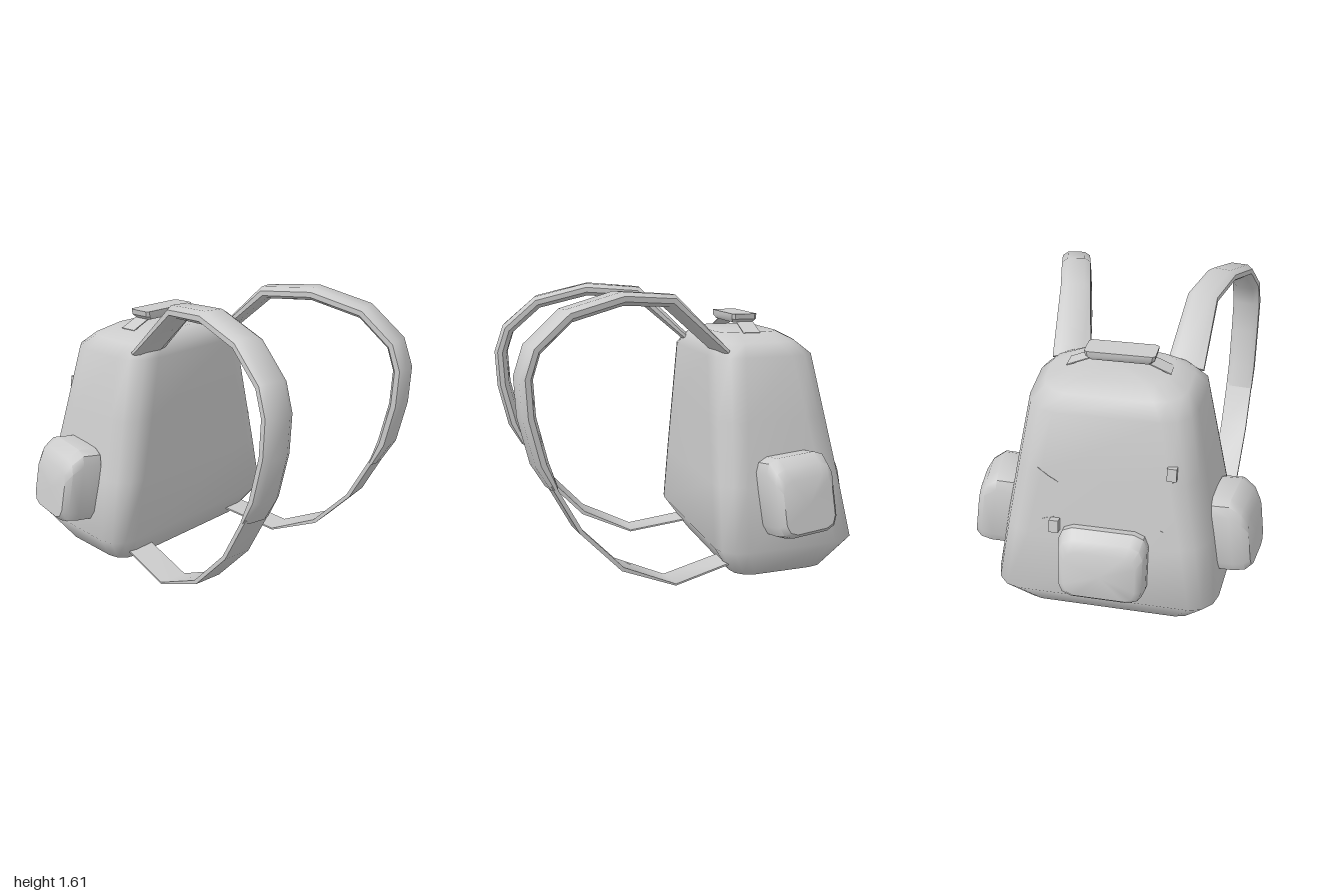
import * as THREE from 'three';
import { toCreasedNormals } from 'three/addons/utils/BufferGeometryUtils.js';

const V = (x, y, z) => new THREE.Vector3(x, y, z);
const material = new THREE.MeshStandardMaterial({ color: 0xcccccc });

// Closed skin through rings of points, each ring counter-clockwise seen from the end
function loft(rings, crease) {
  const n = rings[0].length, last = rings.length - 1, pos = [], idx = [];
  rings.forEach(r => r.forEach(p => pos.push(p.x, p.y, p.z)));
  for (let i = 0; i < last; i++) for (let j = 0; j < n; j++) {
    const a = i * n + j, b = i * n + (j + 1) % n;
    idx.push(a, b, b + n, a, b + n, a + n);
  }
  for (const [k, flip] of [[0, true], [last, false]]) {
    const c = rings[k].reduce((s, p) => s.add(p), V(0, 0, 0)).divideScalar(n);
    const ci = pos.length / 3;
    pos.push(c.x, c.y, c.z);
    for (let j = 0; j < n; j++) {
      const a = k * n + j, b = k * n + (j + 1) % n;
      flip ? idx.push(ci, b, a) : idx.push(ci, a, b);
    }
  }
  const g = new THREE.BufferGeometry();
  g.setAttribute('position', new THREE.Float32BufferAttribute(pos, 3));
  g.setIndex(idx);
  g.computeVertexNormals();
  return crease ? toCreasedNormals(g, crease) : g;
}

// Rounded rectangle, half sizes a and b, corner radius r
function roundRect(a, b, r, steps = 3) {
  const out = [];
  [[1, 1], [-1, 1], [-1, -1], [1, -1]].forEach(([sx, sy], q) => {
    for (let i = 0; i <= steps; i++) {
      const t = (q + i / steps) * Math.PI / 2;
      out.push([sx * (a - r) + r * Math.cos(t), sy * (b - r) + r * Math.sin(t)]);
    }
  });
  return out;
}

// Sweep a cross-section along a path; the band's width runs mostly along x
function sweep(path, section, skew) {
  const rings = path.map((p, i) => {
    const t = path[Math.min(i + 1, path.length - 1)].clone().sub(path[Math.max(i - 1, 0)]).normalize();
    const w = V(1, 0, skew);
    w.addScaledVector(t, -w.dot(t)).normalize();
    const n = t.clone().cross(w);
    return section(i).map(([u, v]) => p.clone().addScaledVector(w, u).addScaledVector(n, v));
  });
  return loft(rings, 0.9);
}

// Box pocket with a bevelled outer face: half width a, half height b, depth d
function pocketGeometry(a, b, d) {
  const layers = [[0, 1, 1, 0], [0.55, 1, 1, 0], [0.85, 0.94, 0.86, -0.1], [1, 0.8, 0.66, -0.2]];
  return loft(layers.map(([w, sx, sy, dy]) =>
    roundRect(a * sx, b * sy, 0.075 * sx, 2).map(([x, y]) => V(x, y + dy * b, w * d))), 0.75);
}

export function createModel() {
  const model = new THREE.Group();
  const add = (name, geometry, parent = model) => {
    const m = new THREE.Mesh(geometry, material);
    m.name = name;
    parent.add(m);
    return m;
  };

  // Main bag: y, half width, front z, back z, corner radius
  const levels = [
    [0, 0.32, -0.24, -0.7, 0.1], [0.02, 0.53, -0.19, -0.77, 0.12],
    [0.2, 0.67, -0.065, -0.9, 0.15], [0.55, 0.605, -0.072, -0.84, 0.16],
    [0.9, 0.535, -0.08, -0.775, 0.17], [1.24, 0.465, -0.09, -0.71, 0.17],
    [1.31, 0.39, -0.13, -0.63, 0.15], [1.36, 0.27, -0.18, -0.54, 0.1]];
  add('bag', loft(levels.map(([y, hw, zf, zb, r]) =>
    roundRect((zf - zb) / 2, hw, r).map(([z, x]) =>
      V(x * (1 + 0.13 * (z - (zf - zb) / 2 + r)), y, z + (zf + zb) / 2)))));

  // Side and back pockets
  const pocket = (name, size, at, normal, roll) => {
    const m = add(name, pocketGeometry(...size));
    m.position.copy(at);
    m.lookAt(at.clone().add(normal));
    m.rotateZ(roll);
  };
  for (const s of [1, -1])
    pocket(s > 0 ? 'leftPocket' : 'rightPocket', [0.19, 0.22, 0.205],
      V(s * 0.58, 0.5, -0.48), V(s, 0.14, -0.15), s * 0.07);
  pocket('backPocket', [0.24, 0.195, 0.165], V(-0.005, 0.43, -0.81), V(0, 0.18, -1), 0);

  // Padded shoulder straps and thin lower webbing
  const padPath = [[0.32, 1.27, -0.16], [0.365, 1.555, 0.15], [0.435, 1.575, 0.44], [0.51, 1.5, 0.73],
    [0.55, 1.34, 0.91], [0.56, 1.2, 0.957], [0.56, 1, 0.947], [0.56, 0.76, 0.89], [0.555, 0.63, 0.83]];
  const webPath = [[0.555, 0.65, 0.84], [0.545, 0.39, 0.7], [0.525, 0.16, 0.48],
    [0.485, 0.025, 0.18], [0.42, 0.09, -0.16]];
  for (const s of [1, -1]) {
    const side = new THREE.Group();
    side.name = s > 0 ? 'leftStrap' : 'rightStrap';
    model.add(side);
    const points = path => path.map(([x, y, z]) => V(s * x, y, z));
    const pad = i => {
      const w = i === 0 ? 0.105 : 0.085, t = i === 0 || i === 8 ? 0.02 : 0.036;
      return [[w, -0.4 * t], [w, 0.4 * t], [0.6 * w, t], [-0.6 * w, t],
        [-w, 0.4 * t], [-w, -0.4 * t], [-0.6 * w, -t], [0.6 * w, -t]];
    };
    const web = i => {
      const t = i < 3 ? 0.011 : 0.005;
      return [[0.083, -t], [0.083, t], [-0.083, t], [-0.083, -t]];
    };
    add('shoulderPad', sweep(points(padPath), pad, -s * 0.18), side);
    add('webbing', sweep(points(webPath), web, -s * 0.12), side);
  }

  // Grab handle: flared grip held by a thin sloping tab at each end
  const grip = [[1.405, 0.165, 0.06], [1.425, 0.185, 0.073], [1.455, 0.19, 0.073]];
  add('handleGrip', loft(grip.map(([y, a, b]) =>
    roundRect(b, a, 0.015, 1).map(([z, x]) => V(x - 0.008, y, z - 0.355))), 0.6));
  for (const s of [1, -1]) {
    const tab = add('handleTab', new THREE.BoxGeometry(0.14, 0.006, 0.1));
    tab.position.set(s * 0.215, 1.383, -0.36);
    tab.rotation.z = -s * 0.4;
  }

  // Creased fabric folds curving across the back
  const fold = (name, yMid, rise) => {
    const rings = [];
    for (let i = 0; i <= 12; i++) {
      const k = i / 6 - 1, x = 0.36 * k, y = yMid + rise * k * k, f = 1 - k * k;
      const z = dy => -0.937 + 0.182 * (y + dy) + 0.012;
      rings.push([V(x, y + 0.05 * f, z(0.05 * f)), V(x, y - 0.05 * f, z(-0.05 * f)),
        V(x, y - 0.01 * f, z(0) - 0.012 - 0.03 * f)]);
    }
    // Ring order runs counter-clockwise about +x
    add(name, loft(rings.map(r => [r[0], r[2], r[1]]), 0.9));
  };
  fold('upperFold', 0.83, 0.1);
  fold('lowerFold', 0.73, -0.1);

  // Small zip pulls
  for (const [x, y, z] of [[-0.35, 0.98, -0.765], [0.26, 0.63, -0.85]]) {
    const pull = add('zipPull', new THREE.BoxGeometry(0.05, 0.07, 0.04));
    pull.position.set(x, y, z);
    pull.rotation.x = 0.18;
  }
  return model;
}
